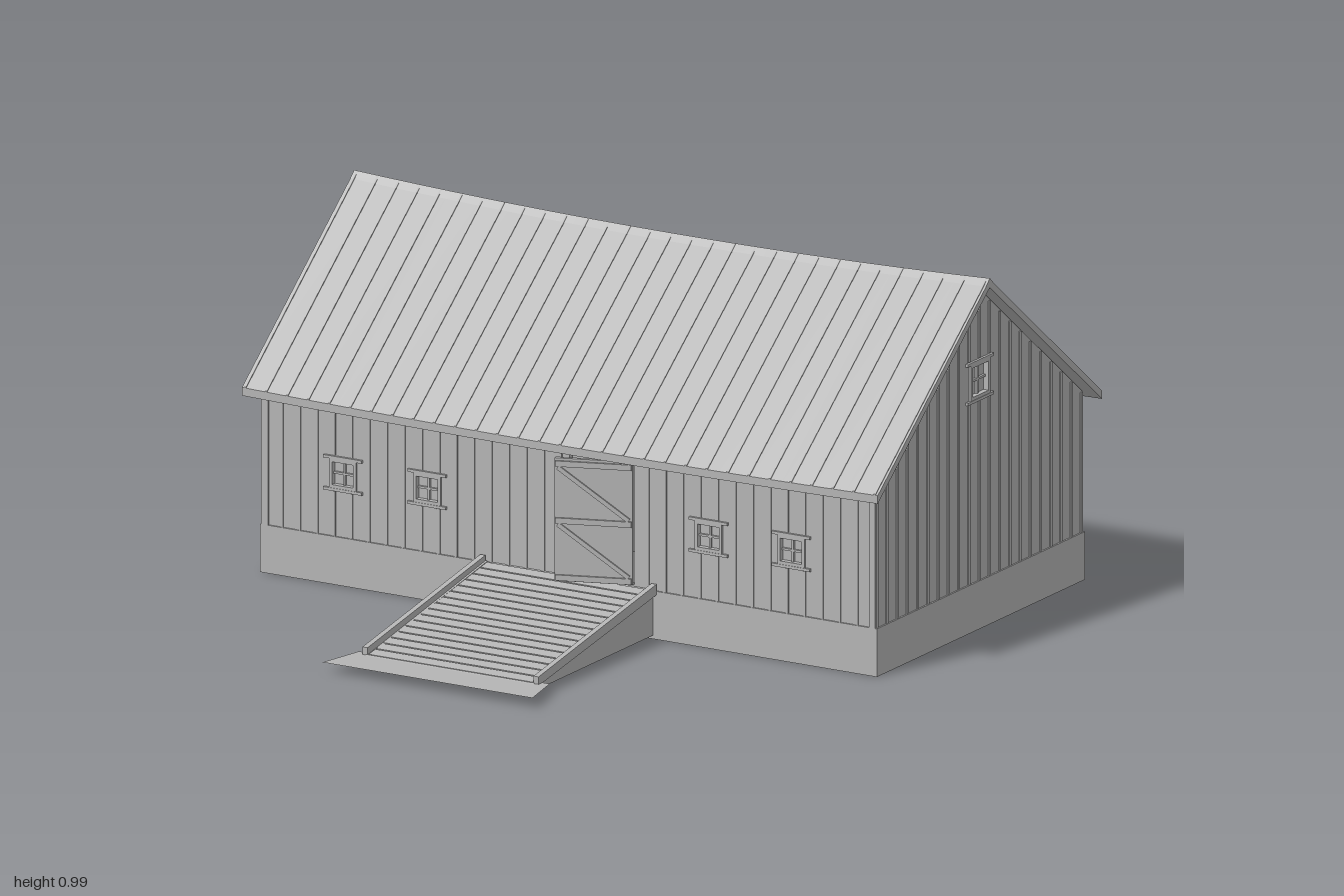
import * as THREE from 'three';

const grey = new THREE.MeshStandardMaterial({ color: 0xb4b4b4, side: THREE.DoubleSide });
grey.name = 'weathered grey';

const BASE = 0.135, EAVE = 0.53, RISE = 0.425, RIDGE_Z = -0.345;
const HALF_X = 0.965, HALF_Z = 0.54;

function add(parent, name, geometry, x = 0, y = 0, z = 0) {
  const mesh = new THREE.Mesh(geometry, grey);
  mesh.name = name;
  mesh.position.set(x, y, z);
  parent.add(mesh);
  return mesh;
}

// box given by its limits on each axis
function slab(parent, name, x0, x1, y0, y1, z0, z1) {
  return add(parent, name, new THREE.BoxGeometry(x1 - x0, y1 - y0, z1 - z0),
    (x0 + x1) / 2, (y0 + y1) / 2, (z0 + z1) / 2);
}

const polygon = pts => new THREE.Shape(pts.map(p => new THREE.Vector2(...p)));
const rect = (x0, x1, y0, y1) => [[x0, y0], [x1, y0], [x1, y1], [x0, y1]];

// outline in (z, y) extruded across x, centred on x = 0
function acrossX(points, width, steps = 1) {
  const g = new THREE.ExtrudeGeometry(polygon(points), { depth: width, steps, bevelEnabled: false });
  return g.translate(0, 0, -width / 2).rotateY(-Math.PI / 2);
}

// sag the roof: lowest at mid length, more at the ridge than at the eaves
function sag(geometry) {
  const p = geometry.attributes.position;
  for (let i = 0; i < p.count; i++) {
    const x = p.getX(i), y = p.getY(i);
    p.setY(i, y - (0.01 + 0.03 * (y - 0.5)) * (1 - x * x));
  }
  geometry.computeVertexNormals();
  return geometry;
}

// framed window with cross bars, sill and header
function addWindow(wall, [u, v, w, h]) {
  const win = new THREE.Group();
  win.name = 'window';
  win.position.set(u, v, 0);
  wall.add(win);
  const a = w / 2, b = h / 2, t = 0.009;
  for (const s of [-1, 1]) {
    add(win, 'frameSide', new THREE.BoxGeometry(t, h, 0.03), s * (a - t / 2), 0, -0.009);
    add(win, 'frameRail', new THREE.BoxGeometry(w, t, 0.03), 0, s * (b - t / 2), -0.009);
    add(win, s < 0 ? 'sill' : 'header', new THREE.BoxGeometry(w + 0.036, 0.008, 0.009), 0, s * (b + 0.004), 0.003);
  }
  add(win, 'glass', new THREE.BoxGeometry(w, h, 0.004), 0, 0, -0.012);
  add(win, 'uprightBar', new THREE.BoxGeometry(0.006, h, 0.01), 0, 0, -0.008);
  add(win, 'crossBar', new THREE.BoxGeometry(w, 0.006, 0.01), 0, 0, -0.008);
}

// board wall facing local +z, with window and door openings and thin battens
function addWall(parent, name, half, gable, windows, door) {
  const wall = new THREE.Group();
  wall.name = name;
  parent.add(wall);
  const top = u => EAVE + (gable ? RISE * (1 - Math.abs(u) / half) : 0);
  const outline = [[-half, BASE], [half, BASE], [half, EAVE]];
  if (gable) outline.push([0, EAVE + RISE]);
  outline.push([-half, EAVE]);
  const shape = polygon(outline);
  const openings = windows.map(([u, v, w, h]) => [u - w / 2, u + w / 2, v - h / 2, v + h / 2]);
  if (door) openings.push(door);
  for (const o of openings) shape.holes.push(new THREE.Path(polygon(rect(...o)).getPoints()));
  const g = new THREE.ExtrudeGeometry(shape, { depth: 0.02, bevelEnabled: false });
  add(wall, 'boards', g, 0, 0, -0.02);
  windows.forEach(w => addWindow(wall, w));

  // battens, broken where they meet an opening
  const count = Math.round(half * 2 / 0.055);
  for (let i = 0; i <= count; i++) {
    const u = -half + 0.006 + (2 * half - 0.012) * i / count;
    const hit = openings.filter(o => u > o[0] - 0.022 && u < o[1] + 0.022);
    let y = BASE;
    for (const o of hit) {
      if (o[2] - 0.01 > y + 0.01) slab(wall, 'batten', u - 0.005, u + 0.005, y, o[2] - 0.01, 0, 0.003);
      y = o[3] + 0.01;
    }
    if (top(u) - y > 0.01) slab(wall, 'batten', u - 0.005, u + 0.005, y, top(u) - 0.006, 0, 0.003);
  }
  return wall;
}

function addRoof(parent) {
  const roof = new THREE.Group();
  roof.name = 'roof';
  parent.add(roof);
  const chevron = (y, t) => [[0.24, y], [RIDGE_Z, y + 0.46], [-0.93, y],
    [-0.93, y - t], [RIDGE_Z, y + 0.46 - t], [0.24, y - t]];
  add(roof, 'roofSlopes', sag(acrossX(chevron(0.525, 0.023), 2, 20)));
  // narrow raised seams down both slopes
  for (let i = 0; i <= 30; i++) {
    const g = acrossX(chevron(0.528, 0.006), 0.006).translate(-0.99 + 1.98 * i / 30, 0, 0);
    add(roof, 'roofSeam', sag(g));
  }
  const cap = [[-0.325, 0.97], [RIDGE_Z, 0.988], [-0.365, 0.97]];
  add(roof, 'ridgeCap', sag(acrossX(cap, 2, 20)));
}

function addDoor(parent) {
  // leaf hinged on the left jamb and standing ajar
  const leaf = new THREE.Group();
  leaf.name = 'door';
  leaf.position.set(0.205, 0.315, 0.195);
  leaf.rotation.y = Math.atan2(0.07, 0.2);
  parent.add(leaf);
  slab(leaf, 'doorLeaf', -0.215, 0, -0.17, 0.175, 0, 0.012);
  for (const z of [-0.003, 0.015]) {
    for (const y of [-0.16, 0, 0.16]) add(leaf, 'doorRail', new THREE.BoxGeometry(0.21, 0.016, 0.006), -0.108, y, z);
    for (const y of [-0.08, 0.08]) {
      const brace = add(leaf, 'doorBrace', new THREE.BoxGeometry(0.24, 0.012, 0.006), -0.108, y, z);
      brace.rotation.z = -0.62;
    }
  }
}

function addRamp(parent) {
  const ramp = new THREE.Group();
  ramp.name = 'ramp';
  parent.add(ramp);
  const side = [[0.195, 0.01], [0.84, 0.01], [0.84, 0.025], [0.8, 0.032], [0.195, 0.14]];
  const curb = [[0.195, 0.125], [0.81, 0.025], [0.81, 0.05], [0.195, 0.155]];
  for (const s of [-1, 1]) {
    add(ramp, 'rampSide', acrossX(side, 0.012), s * 0.26);
    add(ramp, 'rampCurb', acrossX(curb, 0.016), s * 0.269);
  }
  add(ramp, 'rampDeck', acrossX([[0.19, 0.118], [0.83, 0.015], [0.83, 0.027], [0.19, 0.137]], 0.52));
  // cross planks
  for (let i = 0; i < 16; i++) {
    const z = 0.215 + i * 0.0385;
    const plank = add(ramp, 'rampPlank', new THREE.BoxGeometry(0.515, 0.006, 0.034), 0, 0.135 - (z - 0.195) * 0.172, z);
    plank.rotation.x = 0.17;
  }
  // flared landing at the foot
  const apron = new THREE.ShapeGeometry(polygon([[-0.3, -0.79], [-0.33, -0.93], [0.33, -0.93], [0.3, -0.79]]));
  add(ramp, 'rampApron', apron.rotateX(-Math.PI / 2), 0, 0.029, 0);
}

export function createModel() {
  const barn = new THREE.Group();
  barn.name = 'barn';

  // foundation ring, open at the front under the ramp
  slab(barn, 'foundationBack', -0.97, 0.97, 0, BASE, -0.89, -0.86);
  for (const s of [-1, 1]) {
    slab(barn, 'foundationEnd', s * 0.955 - 0.015, s * 0.955 + 0.015, 0, BASE, -0.86, 0.165);
    slab(barn, 'foundationFront', s < 0 ? -0.97 : 0.25, s < 0 ? -0.25 : 0.97, 0, BASE, 0.165, 0.195);
  }

  // walls, with windows as [across, height, width, tall]
  const low = u => [u, 0.312, 0.085, 0.082];
  const loft = [0, 0.7, 0.1, 0.1];
  const front = addWall(barn, 'frontWall', HALF_X, false,
    [-0.71, -0.445, 0.44, 0.7].map(low), [0, 0.205, 0.142, 0.49]);
  front.position.z = 0.19;
  const back = addWall(barn, 'backWall', HALF_X, false, [-0.7, -0.265, 0.28, 0.71].map(low));
  back.position.z = -0.885;
  back.rotation.y = Math.PI;
  const left = addWall(barn, 'leftGable', HALF_Z, true, [loft]);
  left.position.set(HALF_X, 0, RIDGE_Z);
  left.rotation.y = Math.PI / 2;
  const right = addWall(barn, 'rightGable', HALF_Z, true, [loft, low(-0.28), low(0.28)]);
  right.position.set(-HALF_X, 0, RIDGE_Z);
  right.rotation.y = -Math.PI / 2;

  // entry room behind the door
  slab(barn, 'entryFloor', -0.25, 0.25, 0.12, 0.135, -0.1, 0.195);
  slab(barn, 'entryCeiling', -0.25, 0.25, 0.5, 0.51, -0.1, 0.17);
  slab(barn, 'entryBack', -0.25, 0.25, 0.12, 0.51, -0.11, -0.1);
  for (const s of [-1, 1]) slab(barn, 'entrySide', s * 0.245 - 0.005, s * 0.245 + 0.005, 0.12, 0.51, -0.1, 0.17);

  addDoor(barn);
  addRamp(barn);
  addRoof(barn);
  return barn;
}
